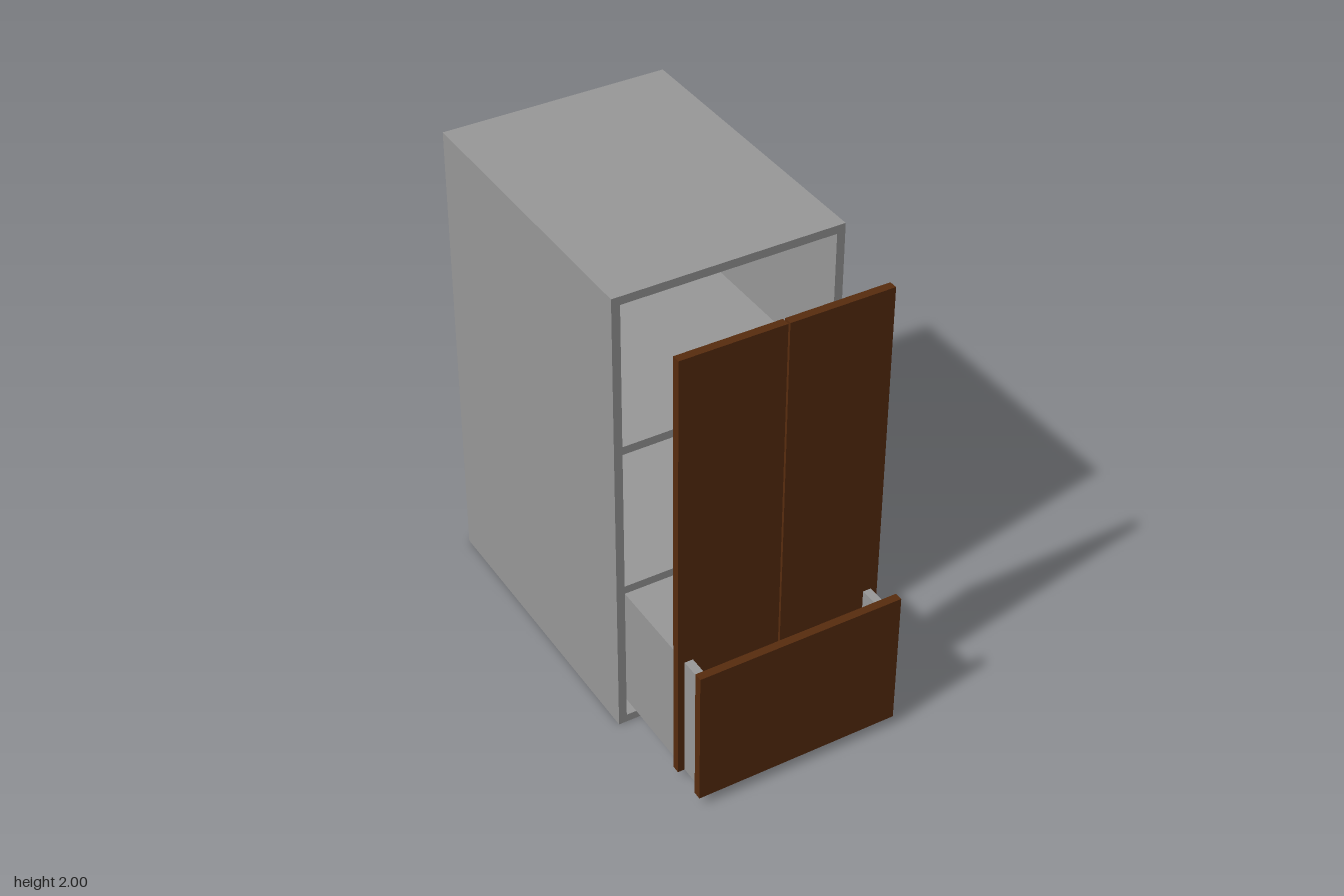
import * as THREE from 'three';

export function createModel() {
  const model = new THREE.Group();
  model.name = 'cabinet';
  const grey = new THREE.MeshStandardMaterial({ color: 0x999999 });
  grey.name = 'carcass grey';
  const brown = new THREE.MeshStandardMaterial({ color: 0x582c0e });
  brown.name = 'front brown';

  // A panel given by its extents along each axis
  function panel(parent, name, material, [x0, x1], [y0, y1], [z0, z1]) {
    const mesh = new THREE.Mesh(new THREE.BoxGeometry(x1 - x0, y1 - y0, z1 - z0), material);
    mesh.position.set((x0 + x1) / 2, (y0 + y1) / 2, (z0 + z1) / 2);
    mesh.name = name;
    parent.add(mesh);
  }
  function section(name) {
    const group = new THREE.Group();
    group.name = name;
    model.add(group);
    return group;
  }

  const T = 0.035; // board thickness
  const W = 0.48; // half width of the carcass
  const depth = [-0.92, 0.38];

  // Carcass, open at the front and back
  const carcass = section('carcass');
  panel(carcass, 'leftSide', grey, [W - T, W], [0, 2], depth);
  panel(carcass, 'rightSide', grey, [-W, T - W], [0, 2], depth);
  const inner = [T - W, W - T];
  panel(carcass, 'bottom', grey, inner, [0, T], depth);
  panel(carcass, 'top', grey, inner, [2 - T, 2], depth);
  for (const y of [0.675, 1.332]) {
    panel(carcass, 'shelf', grey, inner, [y - T / 2, y + T / 2], depth);
  }

  // Pair of tall doors standing off the carcass
  const doors = section('doors');
  panel(doors, 'leftDoor', brown, [0.004, 0.438], [0.047, 1.96], [0.727, 0.762]);
  panel(doors, 'rightDoor', brown, [-0.438, -0.004], [0.047, 1.96], [0.727, 0.762]);

  // Pulled-out drawer, running back into the lowest bay
  const drawer = section('drawer');
  const D = 0.41; // half width of the drawer box
  const run = [-0.31, 0.885];
  const height = [0.05, 0.595];
  panel(drawer, 'drawerLeftSide', grey, [D - T, D], height, run);
  panel(drawer, 'drawerRightSide', grey, [-D, T - D], height, run);
  panel(drawer, 'drawerBack', grey, [T - D, D - T], height, [run[0], run[0] + T]);
  panel(drawer, 'drawerBottom', grey, [T - D, D - T], [0.05, 0.05 + T], [run[0] + T, run[1]]);
  panel(drawer, 'drawerFront', brown, [-0.438, 0.438], [0.045, 0.648], [0.885, 0.92]);

  return model;
}
